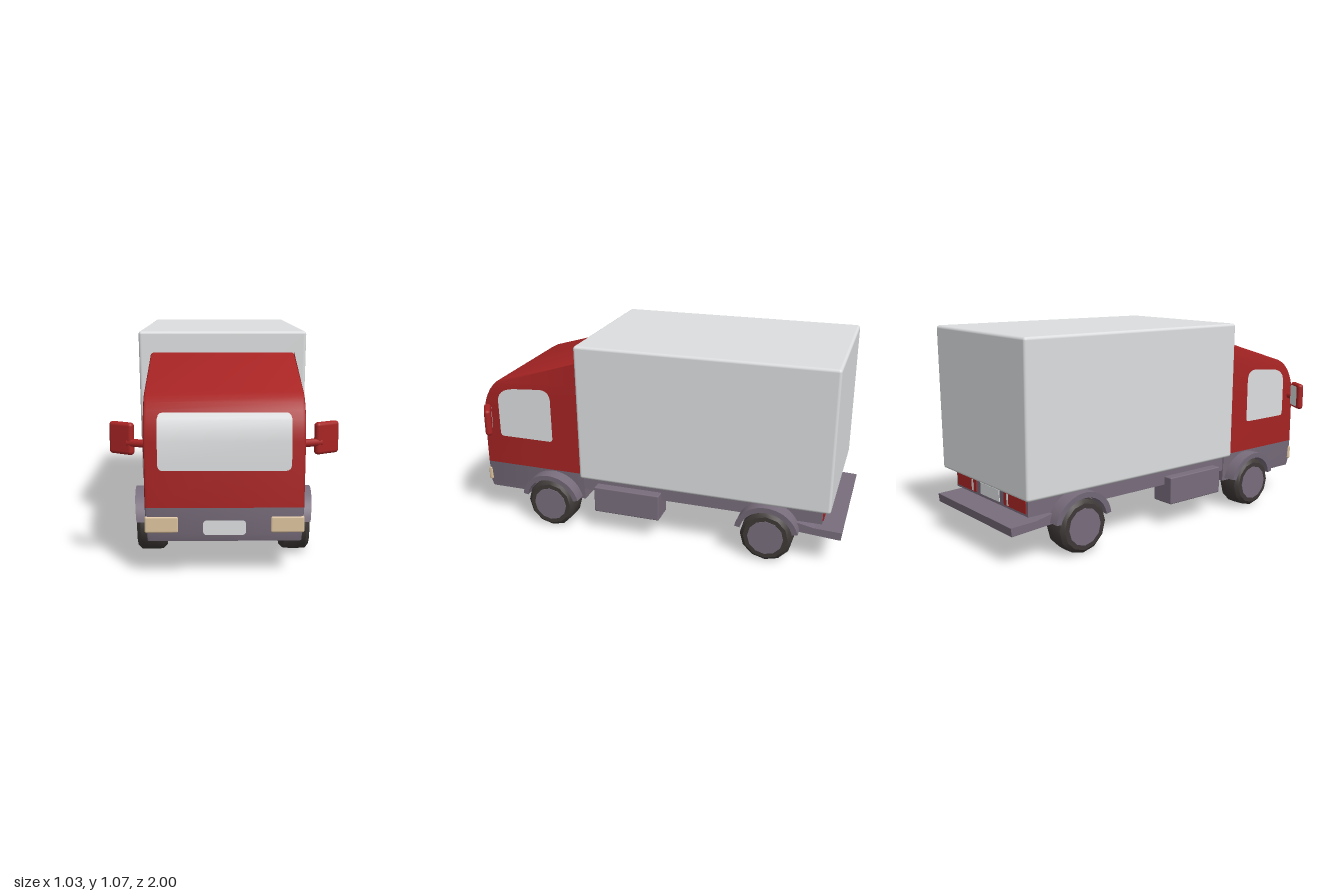
import * as THREE from 'three';
import { toCreasedNormals } from 'three/addons/utils/BufferGeometryUtils.js';
import { RoundedBoxGeometry } from 'three/addons/geometries/RoundedBoxGeometry.js';

const material = (name, color, side = THREE.FrontSide) => {
  const m = new THREE.MeshStandardMaterial({ color, side });
  m.name = name;
  return m;
};

// Front outline of the cab, [y, z], from the bumper to the top of the roof
const PROFILE = [[0.165, 0.99], [0.2, 1], [0.32, 1], [0.62, 0.998], [0.67, 0.99], [0.71, 0.977],
  [0.75, 0.956], [0.78, 0.932], [0.805, 0.905], [0.823, 0.87], [0.96, 0.41]];
const CAB_BACK = 0.41;

const interpolate = (table, y) => {
  let i = 0;
  while (i < table.length - 2 && y > table[i + 1][0]) i++;
  const [y0, a] = table[i], [y1, b] = table[i + 1];
  return a + (b - a) * (y - y0) / (y1 - y0);
};
const frontZ = (y) => interpolate(PROFILE, y);
const cabHalfWidth = (y) => interpolate([[0.165, 0.345], [0.32, 0.355], [0.96, 0.361]], y);

// Skin between rows of points; closed rows wrap around
function loft(rows, closed, cap) {
  const n = rows[0].length, index = [];
  for (let r = 0; r < rows.length - 1; r++) {
    for (let i = 0; i < (closed ? n : n - 1); i++) {
      const a = r * n + i, b = r * n + (i + 1) % n;
      index.push(a, b, b + n, a, b + n, a + n);
    }
  }
  if (cap) for (let i = 1; i < n - 1; i++) index.push(0, i + 1, i);
  const g = new THREE.BufferGeometry();
  g.setAttribute('position', new THREE.Float32BufferAttribute(rows.flat(2), 3));
  g.setIndex(index);
  return toCreasedNormals(g, 0.6);
}

// Copy of a geometry on the other side of x = 0
function mirrored(geometry) {
  const g = geometry.index ? geometry.toNonIndexed() : geometry.clone();
  for (const key of ['position', 'normal']) {
    const a = g.attributes[key];
    for (let i = 0; i < a.count; i += 3) {
      const p = [0, 1, 2].map((k) => [-a.getX(i + k), a.getY(i + k), a.getZ(i + k)]);
      [p[0], p[2], p[1]].forEach((v, k) => a.setXYZ(i + k, ...v));
    }
  }
  return g;
}

function warp(geometry, rule) {
  const p = geometry.attributes.position;
  const v = new THREE.Vector3();
  for (let i = 0; i < p.count; i++) {
    rule(v.fromBufferAttribute(p, i));
    p.setXYZ(i, v.x, v.y, v.z);
  }
  return geometry;
}

function roundedRect(w, h, r) {
  const s = new THREE.Shape(), x = w / 2, y = h / 2;
  s.absarc(x - r, y - r, r, 0, Math.PI / 2);
  s.absarc(-x + r, y - r, r, Math.PI / 2, Math.PI);
  s.absarc(-x + r, -y + r, r, Math.PI, Math.PI * 1.5);
  s.absarc(x - r, -y + r, r, Math.PI * 1.5, Math.PI * 2);
  return new THREE.ShapeGeometry(s, 5);
}

export function createModel() {
  const model = new THREE.Group();
  model.name = 'boxTruck';
  const red = material('red paint', 0xa82424);
  const white = material('pale grey', 0xdcdedf, THREE.DoubleSide);
  const grey = material('purple grey', 0x786d7c);
  const rubber = material('tyre rubber', 0x3e3937);
  const amber = material('headlight', 0xdcc29e);

  const add = (name, geometry, mat) => {
    const m = new THREE.Mesh(geometry, mat);
    m.name = name;
    model.add(m);
    return m;
  };
  const pair = (name, geometry, mat) => {
    add(name + 'Left', geometry, mat);
    add(name + 'Right', mirrored(geometry), mat);
  };

  // Cab: rings with a small rounded front corner
  const rings = PROFILE.map(([y, z], i) => {
    const p = PROFILE[Math.max(i - 1, 0)], q = PROFILE[Math.min(i + 1, PROFILE.length - 1)];
    const t = new THREE.Vector2(q[0] - p[0], q[1] - p[1]).normalize();
    const flat = i < 3 ? 1 : 0;
    const ny = flat ? 0 : -t.y, nz = flat ? 1 : t.x;
    const w = cabHalfWidth(y), half = [];
    for (const a of [0, Math.PI / 4, Math.PI / 2]) {
      const b = 0.014, drop = b * (1 - Math.sin(a));
      half.push([w - b + b * Math.cos(a), y - ny * drop, Math.max(CAB_BACK, z - nz * drop)]);
    }
    const right = [[w, y, CAB_BACK], ...half];
    return [...right.map(([x, u, v]) => [-x, u, v]), ...right.reverse()];
  });
  add('cabLower', loft(rings.slice(0, 3), true, true), grey);
  add('cabUpper', loft(rings.slice(2), true, false), red);

  // Windscreen follows the cab outline
  const lo = 0.488, hi = 0.742, r = 0.024;
  const levels = [0, 0.003, 0.01, 0.024].flatMap((d) => [lo + d, hi - d])
    .concat([0.62, 0.67, 0.71]).sort((a, b) => a - b);
  add('windscreen', loft(levels.map((y) => {
    const d = Math.max(0, r - Math.min(y - lo, hi - y));
    const w = 0.296 - r + Math.sqrt(Math.max(0, r * r - d * d));
    return [[-w, y, frontZ(y) + 0.005], [w, y, frontZ(y) + 0.005]];
  }), false, false), white);

  // Side windows
  const s = new THREE.Shape();
  s.moveTo(-0.88, 0.49);
  s.lineTo(-0.605, 0.49);
  s.quadraticCurveTo(-0.585, 0.49, -0.585, 0.51);
  s.lineTo(-0.585, 0.735);
  s.quadraticCurveTo(-0.59, 0.788, -0.645, 0.787);
  s.lineTo(-0.8, 0.775);
  s.quadraticCurveTo(-0.9, 0.765, -0.9, 0.69);
  s.lineTo(-0.9, 0.51);
  s.quadraticCurveTo(-0.9, 0.49, -0.88, 0.49);
  pair('sideWindow', warp(new THREE.ShapeGeometry(s, 6).rotateY(Math.PI / 2),
    (v) => { v.x = cabHalfWidth(v.y) + 0.004; }), white);

  // Headlights and front plate
  pair('headlight', new RoundedBoxGeometry(0.151, 0.076, 0.024, 2, 0.009).translate(0.2805, 0.243, 0.992), amber);
  add('frontPlate', roundedRect(0.19, 0.066, 0.014).translate(0, 0.23, 1.004), white);

  // Mirrors on short arms
  const arm = new THREE.LineCurve3(new THREE.Vector3(0.34, 0.603, 0.968), new THREE.Vector3(0.43, 0.603, 0.935));
  pair('mirrorArm', new THREE.TubeGeometry(arm, 1, 0.018, 8), red);
  const place = (g) => g.rotateY(0.53).translate(0.457, 0.62, 0.913);
  pair('mirrorHousing', place(new RoundedBoxGeometry(0.125, 0.146, 0.036, 2, 0.016)), red);
  pair('mirrorGlass', place(roundedRect(0.096, 0.118, 0.015).rotateY(Math.PI).translate(0, 0, -0.021)), white);

  // Cargo box, slightly wider at the top and higher at the back
  add('cargoBox', warp(new RoundedBoxGeometry(0.84, 0.746, 1.35, 3, 0.015).translate(0, 0.693, -0.265), (v) => {
    const t = (v.y - 0.32) / 0.746;
    v.x *= 0.98 + 0.025 * t;
    v.y += 0.009 * t * (0.41 - v.z) / 1.35;
  }), white);

  // Chassis and side lockers
  add('chassis', new THREE.BoxGeometry(0.69, 0.098, 1.315).translate(0, 0.275, -0.2375), grey);
  pair('sideLocker', new RoundedBoxGeometry(0.135, 0.146, 0.37, 2, 0.006).translate(0.3275, 0.198, 0.15), grey);

  // Rear bumper
  const b = new THREE.Shape([[0.76, 0.225], [0.775, 0.172], [0.995, 0.157], [1, 0.2], [0.86, 0.205]]
    .map(([u, y]) => new THREE.Vector2(u, y)));
  add('rearBumper', new THREE.ExtrudeGeometry(b, { depth: 0.72, bevelEnabled: false })
    .rotateY(Math.PI / 2).translate(-0.36, 0, 0), grey);

  // Rear lights and plate
  const rear = (w, h, x, gap) => new THREE.BoxGeometry(w, h, 0.006).translate(x, 0.272, -0.895 - gap);
  pair('tailLight', rear(0.195, 0.066, 0.2325, 0.002), red);
  pair('reverseLight', rear(0.014, 0.058, 0.17, 0.004), white);
  add('rearPlate', rear(0.18, 0.06, 0, 0.002), white);

  // Wheels and mudguards
  const tyre = toCreasedNormals(new THREE.LatheGeometry([[0, 0.275], [0.118, 0.275], [0.137, 0.293],
    [0.139, 0.345], [0.137, 0.398], [0.118, 0.416], [0, 0.416]]
    .map(([x, y]) => new THREE.Vector2(x, y)), 12).rotateZ(-Math.PI / 2), 0.7);
  const hub = new THREE.CylinderGeometry(0.094, 0.094, 0.147, 12).rotateZ(-Math.PI / 2).translate(0.3455, 0, 0);
  const a = new THREE.Shape();
  a.absarc(0, 0, 0.168, 0.2, Math.PI - 0.2, false);
  a.absarc(0, 0, 0.139, Math.PI - 0.2, 0.2, true);
  const guard = toCreasedNormals(warp(new THREE.ExtrudeGeometry(a, { depth: 0.088, bevelEnabled: false, curveSegments: 10 })
    .rotateY(Math.PI / 2).translate(0.34, 0.147, 0), (v) => {
    if (v.x > 0.4) v.x -= 0.013 * (0.315 - v.y) / 0.13;
  }), 0.6);
  for (const [name, z] of [['front', 0.592], ['rear', -0.62]]) {
    pair(name + 'Tyre', tyre.clone().translate(0, 0.139, z), rubber);
    pair(name + 'Hub', hub.clone().translate(0, 0.139, z), grey);
    pair(name + 'Mudguard', guard.clone().translate(0, 0, z), grey);
  }
  return model;
}
